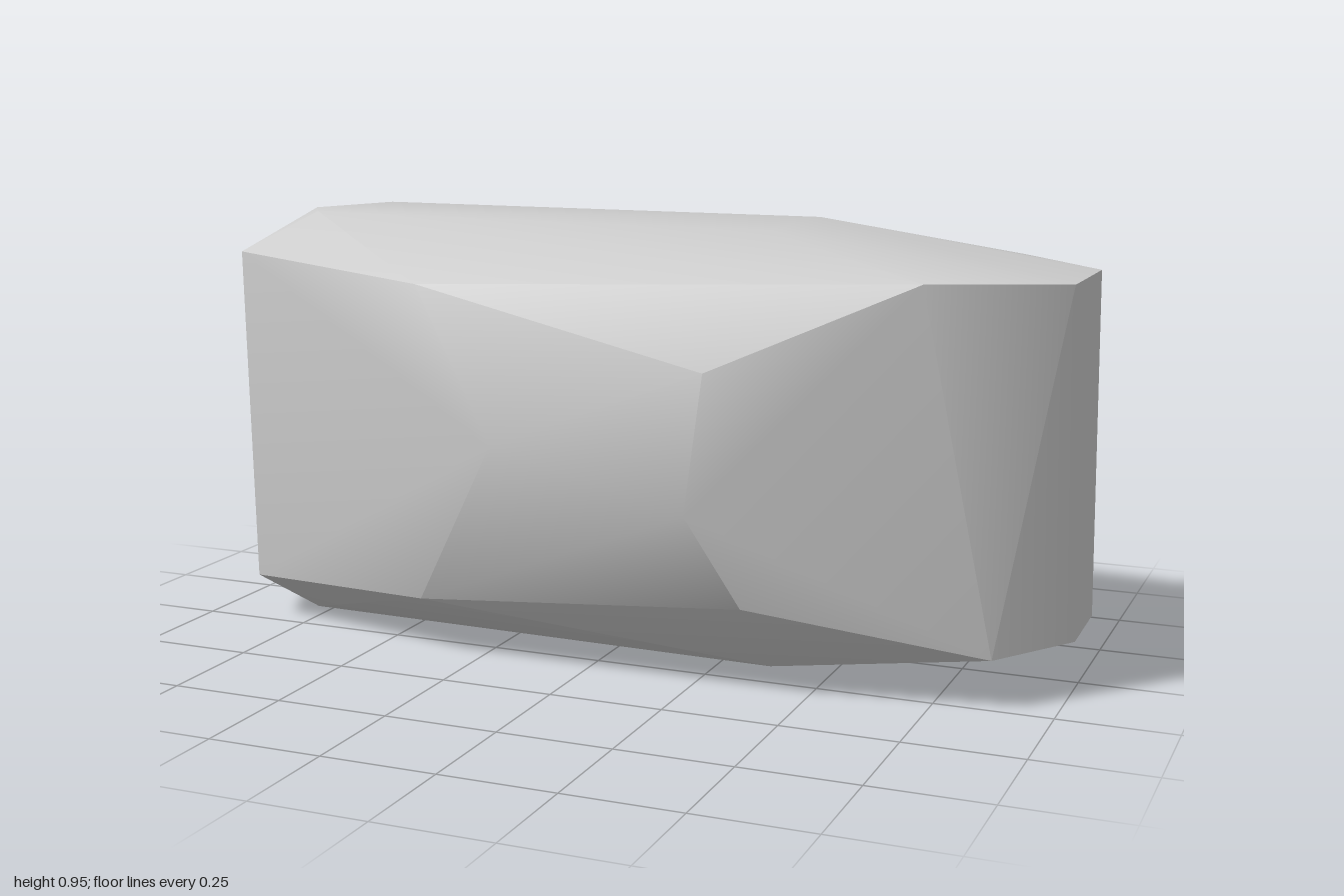
import * as THREE from 'three';
import { toCreasedNormals } from 'three/addons/utils/BufferGeometryUtils.js';
import { ConvexGeometry } from 'three/addons/geometries/ConvexGeometry.js';

// corners of the boulder, [x, y, z], grouped by side
const top = [
  [-0.75, 0.95, 0.13], [-0.73, 0.947, -0.18], [-0.85, 0.942, -0.03],
  [0.35, 0.95, 0.15], [0.35, 0.948, -0.195],
];
const base = [
  [-0.8, 0.003, -0.13], [-0.79, 0.003, 0.115], [0.38, 0.022, 0.2], [0.42, 0.022, -0.24],
];
const rightEnd = [
  [0.985, 0.865, 0.13], [0.985, 0.863, -0.155], [1, 0.11, 0.06], [1, 0.115, -0.13],
  [0.72, 0.872, 0.3], [0.87, 0.11, 0.255], [0.79, 0.87, -0.32], [0.87, 0.11, -0.28],
];
const leftEnd = [
  [-1, 0.858, -0.05], [-0.9, 0.86, 0.22], [-1, 0.105, -0.05], [-0.88, 0.1, 0.228],
  [-0.85, 0.866, -0.29], [-0.92, 0.1, -0.23], [-0.73, 0.105, -0.325],
];
const back = [
  [0.28, 0.74, -0.467], [-0.55, 0.745, -0.467], [0.69, 0.76, -0.4],
  [0.28, 0.205, -0.465], [-0.55, 0.21, -0.465], [0.69, 0.175, -0.395],
];
const front = [
  [-0.15, 0.51, 0.468], [0.28, 0.4, 0.46], [0.31, 0.69, 0.435],
  [0.38, 0.2, 0.395], [-0.38, 0.13, 0.355], [-0.38, 0.826, 0.354],
];

export function createModel() {
  const group = new THREE.Group();
  group.name = 'rock';
  const stone = new THREE.MeshStandardMaterial({ color: 0xcccccc });
  stone.name = 'stone grey';

  // one convex block, soft across shallow bends and sharp at hard edges
  const corners = [top, base, rightEnd, leftEnd, back, front].flat();
  const hull = new ConvexGeometry(corners.map((c) => new THREE.Vector3(...c)));
  const boulder = new THREE.Mesh(toCreasedNormals(hull, 0.6), stone);
  boulder.name = 'boulder';
  group.add(boulder);
  return group;
}
